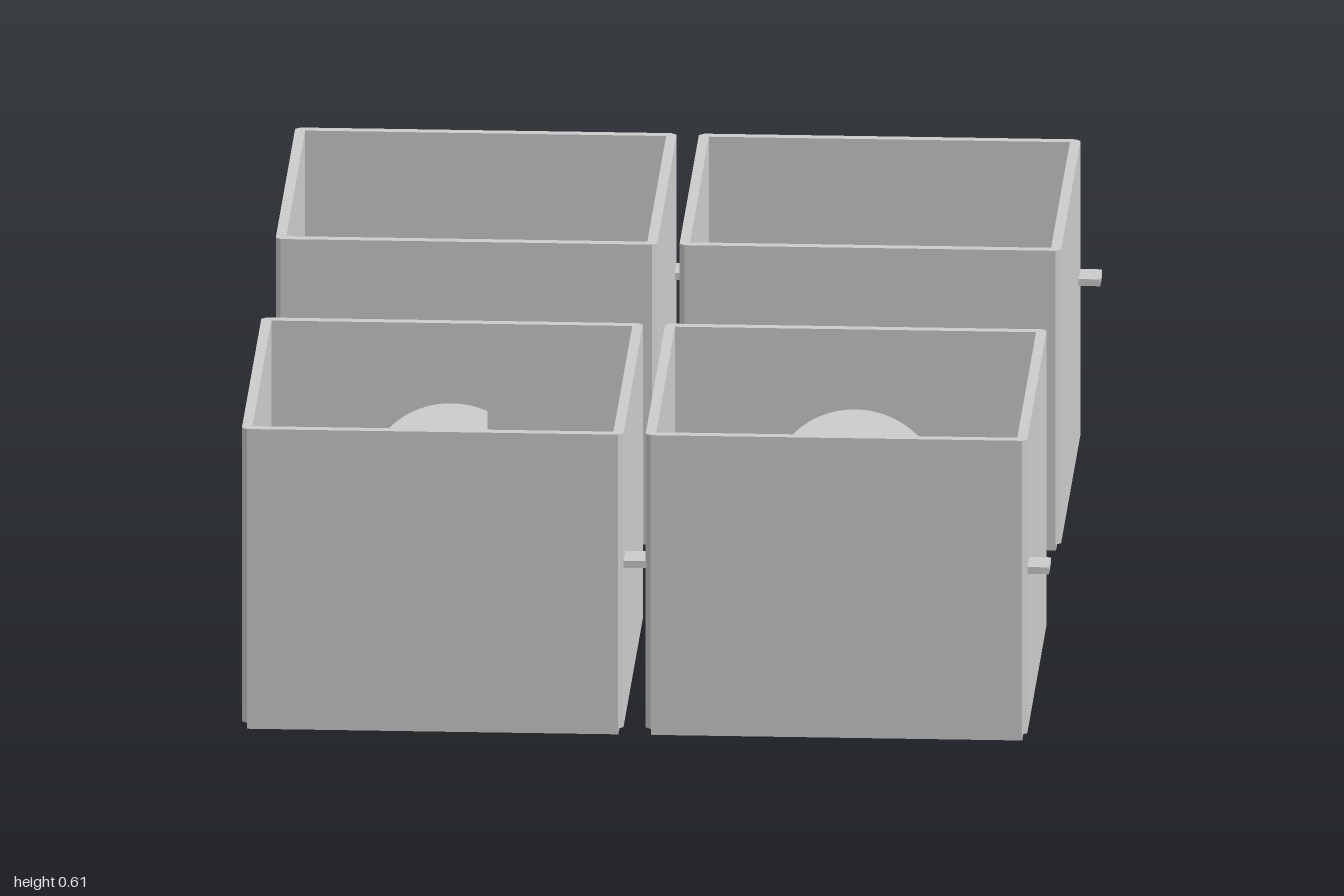
import * as THREE from 'three';

const MAT = new THREE.MeshStandardMaterial({ color: 0xcccccc, flatShading: true });
const W = 0.74, H = 0.61, T = 0.02, C = 0.01, BASE = 0.015; // size, height, wall, chamfer, foot
const R = W / 2, A = R - C, I = R - T;
const ARCH_R = 0.168, SPRING = 0.28;

function mesh(name, geometry, parent) {
  const m = new THREE.Mesh(geometry, MAT);
  m.name = name;
  parent.add(m);
  return m;
}

// Box given by its minimum and maximum corners
function block(name, x0, x1, y0, y1, z0, z1, parent) {
  const m = mesh(name, new THREE.BoxGeometry(x1 - x0, y1 - y0, z1 - z0), parent);
  m.position.set((x0 + x1) / 2, (y0 + y1) / 2, (z0 + z1) / 2);
  return m;
}

const polygon = (pts) => new THREE.Shape(pts.map(([x, y]) => new THREE.Vector2(x, y)));

// Three plain walls with chamfered corners, open towards +z
function sideWalls() {
  const shape = polygon([
    [-A, -R], [-I, -R], [-I, I], [I, I], [I, -R], [A, -R],
    [R, -A], [R, A], [A, R], [-A, R], [-R, A], [-R, -A],
  ]);
  const g = new THREE.ExtrudeGeometry(shape, { depth: H - BASE, bevelEnabled: false });
  return g.rotateX(-Math.PI / 2).translate(0, BASE, 0);
}

// Wall with an arched doorway centred on x = cx
function archWall(cx) {
  const shape = polygon([[-I, BASE], [I, BASE], [I, H], [-I, H]]);
  const hole = new THREE.Path();
  hole.moveTo(cx - ARCH_R, T);
  hole.lineTo(cx + ARCH_R, T);
  hole.lineTo(cx + ARCH_R, SPRING);
  hole.absarc(cx, SPRING, ARCH_R, 0, Math.PI, false);
  hole.closePath();
  shape.holes.push(hole);
  const g = new THREE.ExtrudeGeometry(shape, { depth: T, bevelEnabled: false, curveSegments: 32 });
  return g.translate(0, 0, I);
}

// One open compartment; facing = 1 puts the doorway on +z, -1 on -z
function compartment(name, x, z, facing, archX) {
  const group = new THREE.Group();
  group.name = name;
  group.position.set(x, 0, z);

  const shell = new THREE.Group();
  shell.name = 'shell';
  if (facing < 0) shell.rotation.y = Math.PI;
  group.add(shell);
  mesh('sideWalls', sideWalls(), shell);
  mesh('doorwayWall', archWall(archX), shell);
  block('foot', -A, A, 0, BASE, -A, A, shell);
  block('floor', -I, I, BASE, T, -I, I, shell);
  block('raisedBench', -0.257, 0.257, T, 0.1, -0.325, -0.045, shell);

  // Flat peg passing through the +x wall near the closed side
  const peg = block('peg', 0.162, 0.412, 0.337, 0.351, -0.0335, 0.0335, group);
  peg.position.z = -facing * 0.325;
  return group;
}

export function createModel() {
  const model = new THREE.Group();
  model.name = 'compartments';
  const XL = -0.413, XR = 0.37, Z = 0.63, DOOR = -0.125;

  model.add(compartment('frontCompartmentRight', XL, Z, -1, 0));
  model.add(compartment('frontCompartmentLeft', XR, Z, -1, 0));
  model.add(compartment('backCompartmentLeft', XR, -Z, 1, 0));
  const entry = compartment('entryCompartment', XL, -Z, 1, DOOR);
  model.add(entry);

  // Door jambs and threshold of the entry
  for (const s of [-1, 1]) {
    const jamb = block('doorJamb', -0.03, 0.03, T, SPRING, I - 0.006, R + 0.009, entry);
    jamb.position.x = DOOR + s * (ARCH_R + 0.029);
  }
  block('threshold', DOOR - 0.187, DOOR + 0.187, 0, T, I, R + 0.05, entry);
  return model;
}
